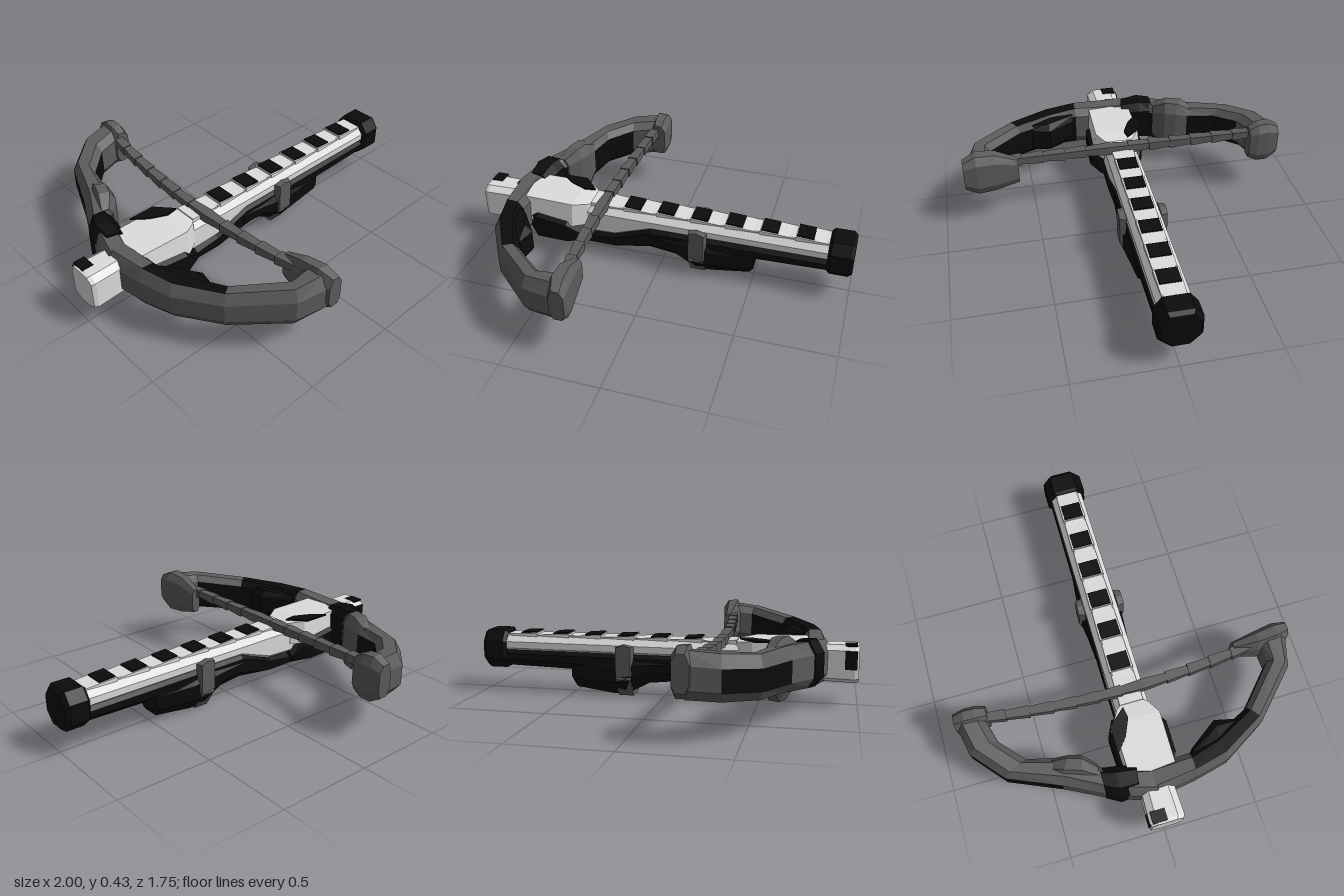
import * as THREE from 'three';

const mat = (name, color) => {
  const m = new THREE.MeshStandardMaterial({ color });
  m.name = name;
  return m;
};

export function createModel() {
  const model = new THREE.Group();
  model.name = 'crossbow';
  const mats = [mat('white', 0xdcdcdc), mat('black', 0x0b0b0b), mat('grey', 0x5c5c5c)];
  const WHITE = 0, BLACK = 1, GREY = 2;

  // Skin a row of rings with flat faces; colour is a number or (segment, side) => number
  function loft(name, rings, colour) {
    const pick = typeof colour === 'number' ? () => colour : colour;
    const faces = [[], [], []];
    const n = rings[0].length;
    const last = rings.length - 1;
    for (let i = 0; i < last; i++) {
      for (let k = 0; k < n; k++) {
        const a = rings[i][k], b = rings[i][(k + 1) % n];
        const c = rings[i + 1][(k + 1) % n], d = rings[i + 1][k];
        faces[pick(i, k)].push([a, b, c], [a, c, d]);
      }
    }
    for (let k = 1; k < n - 1; k++) {
      faces[pick(0, 0)].push([rings[0][0], rings[0][k + 1], rings[0][k]]);
      faces[pick(last - 1, 0)].push([rings[last][0], rings[last][k], rings[last][k + 1]]);
    }
    // Turn the skin outward whichever way the rings run
    const V = (p) => new THREE.Vector3(...p);
    let volume = 0;
    faces.flat().forEach(([a, b, c]) => { volume += V(a).dot(V(b).cross(V(c))); });
    const geo = new THREE.BufferGeometry();
    const pos = [];
    faces.forEach((list, m) => {
      if (list.length) geo.addGroup(pos.length / 3, list.length * 3, m);
      list.forEach(([a, b, c]) => pos.push(...a, ...(volume < 0 ? [...c, ...b] : [...b, ...c])));
    });
    geo.setAttribute('position', new THREE.Float32BufferAttribute(pos, 3));
    geo.computeVertexNormals();
    const mesh = new THREE.Mesh(geo, mats);
    mesh.name = name;
    model.add(mesh);
    return mesh;
  }

  function box(name, x0, x1, y0, y1, z0, z1, colour) {
    const mesh = new THREE.Mesh(new THREE.BoxGeometry(x1 - x0, y1 - y0, z1 - z0), mats[colour]);
    mesh.position.set((x0 + x1) / 2, (y0 + y1) / 2, (z0 + z1) / 2);
    mesh.name = name;
    model.add(mesh);
    return mesh;
  }

  // Chamfered section across x: bottom, top, half width, chamfer height
  const across = ([x, y0, y1, w, c = 0.04]) => [
    [x, y0 + c, w], [x, y1 - c, w], [x, y1, w * 0.6], [x, y1, -w * 0.6],
    [x, y1 - c, -w], [x, y0 + c, -w], [x, y0, -w * 0.45], [x, y0, w * 0.45]];

  // Stock: dark lower half and pale upper half
  loft('lowerStock', [
    [-0.5, 0.07, 0.13, 0.09, 0.02], [-0.25, 0.07, 0.16, 0.092, 0.02], [-0.05, 0.09, 0.25, 0.094],
    [0.06, 0.1, 0.25, 0.094], [0.5, 0.13, 0.25, 0.093], [0.9, 0.14, 0.25, 0.09]].map(across), BLACK);
  loft('upperStock', [
    [-0.5, 0.12, 0.315, 0.085, 0.04], [-0.25, 0.13, 0.315, 0.087, 0.04],
    [-0.05, 0.2, 0.315, 0.088, 0.04], [0.9, 0.2, 0.315, 0.085, 0.04]].map(across), WHITE);
  loft('grip', [
    [-0.07, 0.09, 0.24, 0.095, 0.05], [0.08, 0.075, 0.24, 0.105, 0.06], [0.2, 0.01, 0.24, 0.115, 0.07],
    [0.28, 0.01, 0.23, 0.105, 0.07], [0.48, 0.035, 0.21, 0.085, 0.05], [0.5, 0.06, 0.2, 0.08, 0.04]].map(across), BLACK);
  loft('buttCap', [
    [0.87, 0.14, 0.32, 0.09, 0.05], [0.885, 0.125, 0.335, 0.105, 0.055],
    [0.98, 0.125, 0.335, 0.105, 0.055], [1, 0.14, 0.32, 0.09, 0.05]].map(across), BLACK);

  // Grey strap clips on both sides, joined underneath
  for (const s of [1, -1]) {
    loft('strapClip', [[0.09, 1], [0.124, 0.8]].map(([z, f]) => [
      [0.205 - 0.05 * f, 0.12, z * s], [0.205 + 0.05 * f, 0.11, z * s],
      [0.205 + 0.05 * f, 0.27, z * s], [0.205, 0.285, z * s], [0.205 - 0.05 * f, 0.275, z * s]]), GREY);
  }
  loft('strapUnder', [[0.165, 0.002, 0.2, 0.118, 0.1], [0.245, 0.002, 0.2, 0.118, 0.1]].map(across), GREY);

  // Stepped top rail with dark bars
  for (let i = 0; i < 7; i++) {
    const x = -0.385 + i * 0.181;
    loft('railStep', [[x, 0.325, 0.062], [x + 0.181, 0.313, 0.058]].map(([px, y, w]) =>
      [[px, 0.29, w], [px, y, w], [px, y, -w], [px, 0.29, -w]]), WHITE);
    if (i > 0) {
      box('railBar', x + 0.005, x + 0.092, 0.321, 0.329, -0.052, 0.052, BLACK).rotation.z = -0.06;
    }
  }

  // Front housing with its pale deck
  loft('frontHousing', [
    [-0.73, 0.12, 0.26, 0.11], [-0.67, 0.07, 0.27, 0.15], [-0.5, 0.07, 0.25, 0.155],
    [-0.4, 0.07, 0.17, 0.11]].map(across), BLACK);
  const deck = (x, y0, y1, w) => [[x, y0, w], [x, y1, w * 0.9], [x, y1, -w * 0.9], [x, y0, -w]];
  loft('frontDeck', [
    deck(-0.75, 0.2, 0.335, 0.13), deck(-0.47, 0.2, 0.33, 0.135),
    deck(-0.4, 0.2, 0.32, 0.09), deck(-0.36, 0.25, 0.315, 0.03)], WHITE);
  loft('deckPatch', [0.329, 0.338].map((y) =>
    [[-0.62, y, -0.14], [-0.48, y, -0.14], [-0.4, y, -0.05], [-0.46, y, -0.04], [-0.55, y, -0.08]]), BLACK);

  // Nose block
  loft('noseBlock', [
    [-1, 0.13, 0.315, 0.08, 0.025], [-0.98, 0.125, 0.32, 0.088, 0.025],
    [-0.75, 0.13, 0.32, 0.08, 0.025]].map(across), WHITE);
  box('noseTopPatch', -0.99, -0.93, 0.315, 0.324, -0.075, 0, BLACK);
  box('noseSidePatch', -0.99, -0.93, 0.2, 0.295, -0.091, -0.083, BLACK);

  // Bow limbs: outer x, z, inner x, z, bottom, top
  const limbRing = ([xo, zo, xi, zi, y0, y1]) => {
    const at = (t, y) => [xo + (xi - xo) * t, y0 + (y1 - y0) * y, zo + (zi - zo) * t];
    return [at(0, 0.22), at(0, 0.72), at(0.25, 1), at(0.75, 0.98),
      at(1, 0.8), at(1, 0.2), at(0.8, 0), at(0.25, 0)];
  };
  loft('leftLimb', [
    [-0.86, -0.02, -0.71, -0.02, 0.12, 0.34], [-0.83, 0.2, -0.71, 0.2, 0.13, 0.355],
    [-0.79, 0.38, -0.67, 0.34, 0.15, 0.355], [-0.66, 0.6, -0.575, 0.54, 0.17, 0.365],
    [-0.43, 0.82, -0.38, 0.72, 0.185, 0.395], [-0.27, 0.86, -0.27, 0.71, 0.195, 0.41]].map(limbRing),
  (i, k) => ((i < 4 && i > 0 && (k === 4 || k === 5)) || ((i === 1 || i === 2) && (k === 2 || k === 3 || k === 6)) ? BLACK : GREY));
  loft('rightLimb', [
    [-0.87, 0, -0.71, 0, 0.12, 0.34], [-0.81, -0.2, -0.67, -0.22, 0.13, 0.36],
    [-0.69, -0.44, -0.57, -0.36, 0.15, 0.37], [-0.58, -0.7, -0.52, -0.58, 0.17, 0.375],
    [-0.42, -0.84, -0.4, -0.69, 0.185, 0.395], [-0.27, -0.87, -0.26, -0.73, 0.195, 0.41]].map(limbRing),
  (i, k) => ((i > 0 && i < 4 && (k === 4 || k === 5)) || (i > 1 && i < 4 && (k === 0 || k === 6)) ? BLACK : GREY));

  // Limb braces beside the housing
  loft('rightClamp', [
    [-0.82, -0.09, -0.69, -0.07, 0.14, 0.355], [-0.83, -0.18, -0.67, -0.18, 0.13, 0.37],
    [-0.79, -0.25, -0.66, -0.25, 0.14, 0.37]].map(limbRing), BLACK);
  loft('rightBrace', [
    [-0.72, -0.26, -0.64, -0.25, 0.17, 0.36], [-0.69, -0.34, -0.58, -0.31, 0.1, 0.405],
    [-0.66, -0.43, -0.56, -0.37, 0.1, 0.405], [-0.62, -0.49, -0.55, -0.46, 0.18, 0.36]].map(limbRing), GREY);
  loft('leftBrace', [
    [-0.76, 0.22, -0.69, 0.22, 0.17, 0.33], [-0.74, 0.36, -0.585, 0.37, 0.17, 0.34],
    [-0.66, 0.52, -0.61, 0.48, 0.18, 0.34]].map(limbRing), BLACK);

  // Limb tips: z, x range, y range
  const tipRing = ([z, x0, x1, y0, y1]) => limbRing([x0, z, x1, z, y0, y1]);
  loft('leftTip', [
    [0.58, -0.28, -0.23, 0.23, 0.37], [0.7, -0.31, -0.215, 0.2, 0.42],
    [0.8, -0.31, -0.2, 0.195, 0.43], [0.87, -0.28, -0.205, 0.235, 0.4]].map(tipRing), GREY);
  loft('rightTip', [
    [-0.71, -0.29, -0.21, 0.22, 0.4], [-0.76, -0.3, -0.2, 0.195, 0.425],
    [-0.82, -0.3, -0.2, 0.195, 0.43], [-0.875, -0.29, -0.21, 0.23, 0.4]].map(tipRing), GREY);

  // Bowstring of short stepped links, bowed back at the middle
  const stringAt = (z) => [-0.315 + 0.09 * z * z, 0.328 + 0.055 * z * z, z];
  for (let i = 0; i < 12; i++) {
    const z0 = -0.74 + i * 0.118;
    const ends = [[z0, z0 < 0 ? 0.021 : 0.027], [z0 + 0.118, z0 < 0 ? 0.027 : 0.021]];
    loft('stringLink', ends.map(([z, r]) => {
      const [x, y] = stringAt(z);
      return [[x - r, y - r, z], [x + r, y - r, z], [x + r, y + r * 0.8, z], [x - r, y + r * 0.8, z]];
    }), GREY);
  }
  return model;
}
